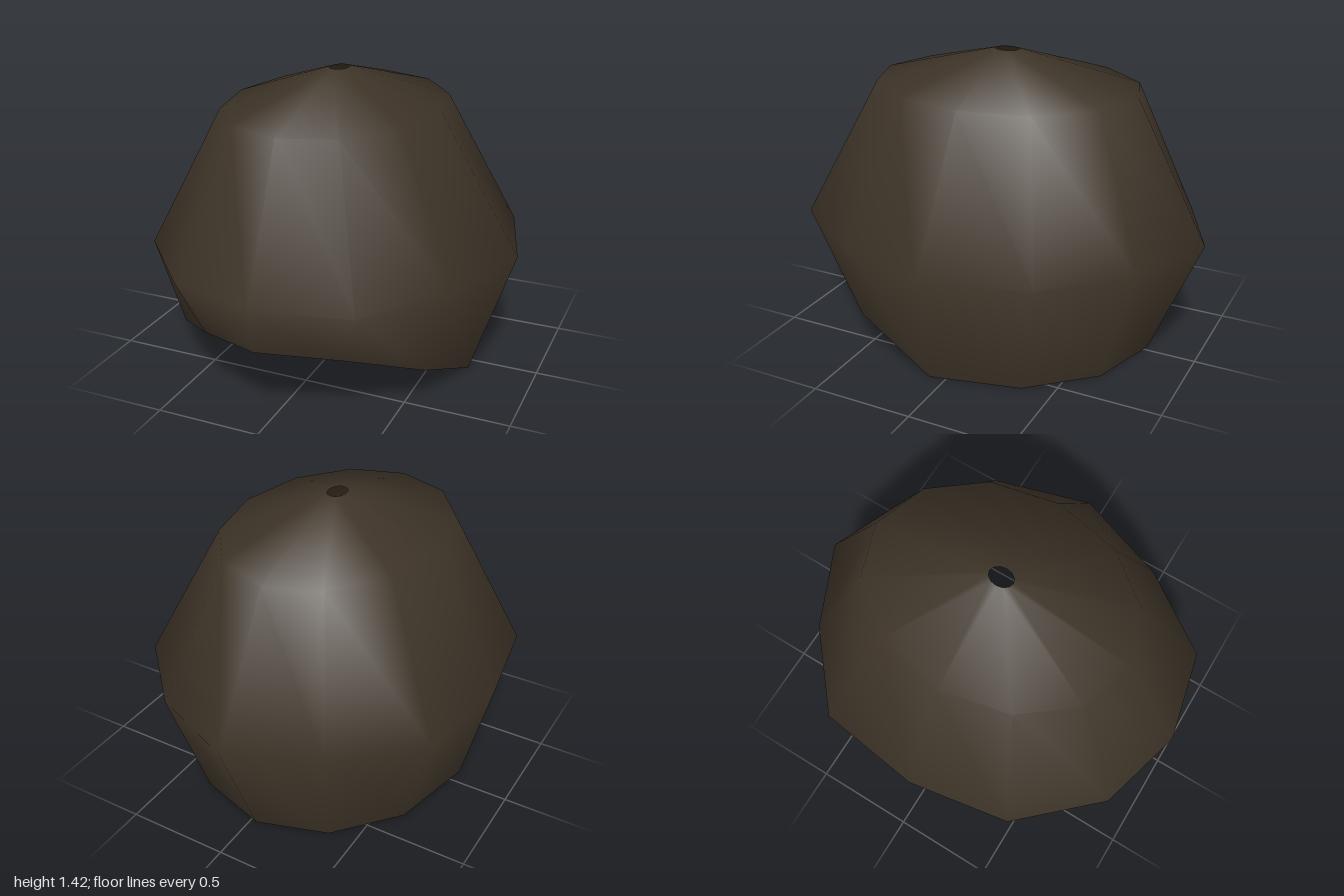
import * as THREE from 'three';

const SIDES = 12;

// Evenly spaced oval ring, starting at the front (+z) and turning towards +x
function oval(cx, cz, rx, rz, y) {
  return Array.from({ length: SIDES }, (_, i) => {
    const a = (i / SIDES) * Math.PI * 2;
    return [cx + rx * Math.sin(a), y, cz + rz * Math.cos(a)];
  });
}

// Joins rings, listed from top to bottom, into one smooth open shell
function loft(rings) {
  const index = [];
  for (let r = 0; r < rings.length - 1; r++) {
    for (let i = 0; i < SIDES; i++) {
      const j = (i + 1) % SIDES;
      const a = r * SIDES + i, b = r * SIDES + j;
      const c = a + SIDES, d = b + SIDES;
      index.push(a, c, d, a, d, b);
    }
  }
  const geometry = new THREE.BufferGeometry();
  geometry.setAttribute('position', new THREE.Float32BufferAttribute(rings.flat(2), 3));
  geometry.setIndex(index);
  geometry.computeVertexNormals();
  return geometry;
}

export function createModel() {
  const group = new THREE.Group();
  const darkBrown = new THREE.MeshStandardMaterial({ color: 0x3e3428, side: THREE.DoubleSide });
  darkBrown.name = 'dark brown';

  // Small hole in the crown, then the shoulder of the cap
  const crown = oval(-0.03, 0.02, 0.045, 0.06, 1.425);
  const shoulder = oval(-0.04, 0.022, 0.52, 0.665, 1.26);

  // Widest ring, slightly irregular
  const widest = [
    [-0.03, 1], [0.42, 0.9], [0.7, 0.5], [0.875, 0.02], [0.73, -0.48], [0.4, -0.82],
    [-0.03, -1], [-0.45, -0.81], [-0.81, -0.5], [-0.88, 0.02], [-0.795, 0.52], [-0.46, 0.88],
  ].map(([x, z]) => [x, 0.6, z]);

  // Open rim: flat at the back, rising in an arch at the front
  const rim = [
    [-0.03, 0.375, 0.95], [0.32, 0.328, 0.79], [0.595, 0.19, 0.5], [0.68, 0, 0.08],
    [0.58, 0, -0.35], [0.32, 0, -0.64], [-0.03, 0, -0.75], [-0.37, 0, -0.64],
    [-0.62, 0, -0.35], [-0.72, 0, 0.08], [-0.655, 0.19, 0.5], [-0.37, 0.325, 0.79],
  ];

  const shell = new THREE.Mesh(loft([crown, shoulder, widest, rim]), darkBrown);
  shell.name = 'capShell';
  group.add(shell);
  return group;
}
